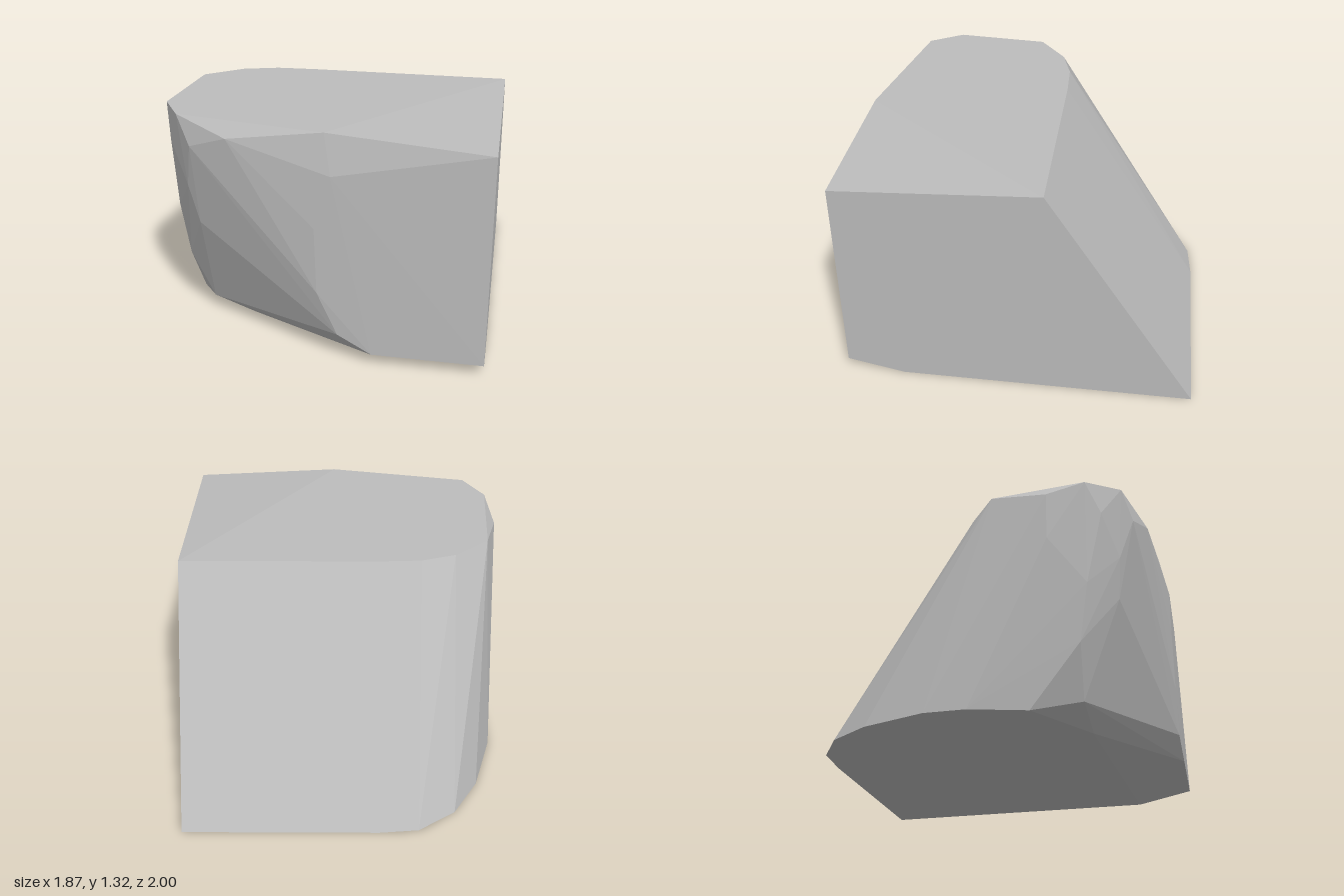
import * as THREE from 'three';
import { ConvexGeometry } from 'three/addons/geometries/ConvexGeometry.js';

export function createModel() {
  const stoneGrey = new THREE.MeshStandardMaterial({ color: 0xbcbcbc });

  // Flat top rim, from the back corner round to the front
  const top = [[0.93, -0.15], [-0.22, -0.15], [-0.45, -0.14], [-0.65, -0.08],
    [-0.85, 0.08], [-0.89, 0.62], [-0.77, 0.81], [0.06, 0.955]];

  // Flat base outline, in the same direction
  const base = [[0.93, -1], [-0.22, -1], [-0.45, -0.98], [-0.67, -0.84], [-0.82, -0.61],
    [-0.935, -0.25], [-0.935, -0.02], [-0.85, 0.29], [-0.45, 0.56], [0.93, 0.67]];

  // Corners of the broad front face and its flat side
  const front = [[0.93, 1.26, 0.985], [0.93, 0.07, 1], [0.32, 0.07, 1], [0.13, 0.17, 0.99],
    [0.02, 0.42, 0.994], [0.01, 0.8, 0.997], [0.1, 1.1, 1]];

  // Chipped, rounded corner
  const chipped = [[-0.47, 1.24, 0.925], [-0.69, 1.16, 0.86], [-0.74, 0.9, 0.78],
    [-0.69, 0.67, 0.76], [-0.63, 0.48, 0.7], [-0.7, 0.085, 0.55], [-0.83, 0.37, 0.56],
    [-0.86, 0.7, 0.61], [-0.85, 1.13, 0.7], [-0.935, 0.96, 0.41], [-0.935, 1.24, 0.41]];

  const points = [
    ...top.map(([x, z]) => new THREE.Vector3(x, 1.32, z)),
    ...base.map(([x, z]) => new THREE.Vector3(x, 0, z)),
    ...[...front, ...chipped].map((p) => new THREE.Vector3(...p)),
  ];

  // One faceted convex block
  const rock = new THREE.Mesh(new ConvexGeometry(points), stoneGrey);
  rock.name = 'rockChunk';

  const group = new THREE.Group();
  group.name = 'rock';
  group.add(rock);
  return group;
}
